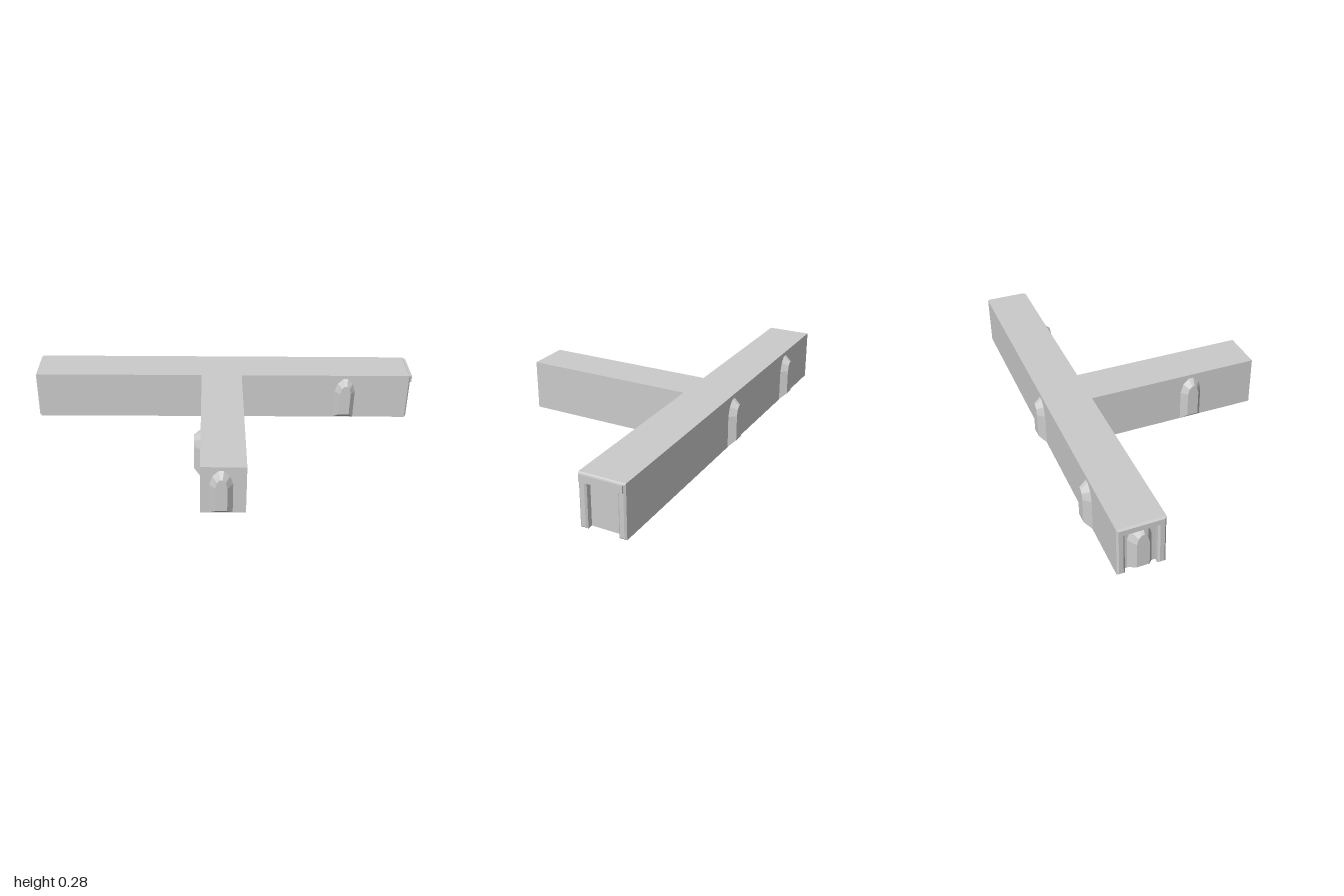
import * as THREE from 'three';

const mat = new THREE.MeshStandardMaterial({ color: 0xcccccc, flatShading: true });
const H = 0.25;      // corridor height
const BAR_Z = -0.43; // centre line of the crossing corridor

function add(parent, name, geometry, x = 0, y = 0, z = 0, turn = 0) {
  const mesh = new THREE.Mesh(geometry, mat);
  mesh.name = name;
  mesh.position.set(x, y, z);
  mesh.rotation.y = turn;
  parent.add(mesh);
  return mesh;
}

// Half-width and height pairs, mirrored into a closed counter-clockwise outline
function archOutline(half, z) {
  const right = half.map(([x, y]) => [x, y, z]);
  const left = half.slice().reverse().map(([x, y]) => [-x, y, z]);
  return [...right, ...left];
}

// Arched bay: a wide base outline lofted to a smaller front panel, facing +z
function archGeometry(depth = 0.032) {
  const base = archOutline([[0.054, 0], [0.054, 0.155], [0.04, 0.2], [0.012, 0.228]], 0);
  const front = archOutline([[0.028, 0.03], [0.028, 0.155], [0.02, 0.185], [0.006, 0.2]], depth);
  const pos = [], n = base.length;
  for (let i = 0; i < n; i++) {
    const j = (i + 1) % n;
    pos.push(...base[i], ...base[j], ...front[j], ...base[i], ...front[j], ...front[i]);
    if (i > 0 && i < n - 1) pos.push(...front[0], ...front[i], ...front[i + 1]);
  }
  const g = new THREE.BufferGeometry();
  g.setAttribute('position', new THREE.Float32BufferAttribute(pos, 3));
  g.computeVertexNormals();
  return g;
}

// Doorway frame open at the floor, with chamfered outer edges, facing +z
function frameGeometry(depth) {
  const w = 0.108, o = 0.072, top = 0.208;
  const s = new THREE.Shape([
    [-w, 0], [-o, 0], [-o, top], [o, top], [o, 0], [w, 0], [w, H], [-w, H],
  ].map(([x, y]) => new THREE.Vector2(x, y)));
  const b = 0.008;
  return new THREE.ExtrudeGeometry(s, {
    depth: depth - b, bevelEnabled: true, bevelSegments: 1,
    bevelSize: b, bevelThickness: b, bevelOffset: -b,
  });
}

export function createModel() {
  const model = new THREE.Group();
  model.name = 'tJunctionCorridor';

  // The whole junction leans very slightly
  const body = new THREE.Group();
  body.name = 'corridors';
  body.position.y = 0.0115;
  body.rotation.set(0.012, 0, -0.0125);
  model.add(body);

  // Corridors
  add(body, 'crossCorridor', new THREE.BoxGeometry(1.91, H, 0.216), 0, H / 2, BAR_Z);
  add(body, 'stemCorridor', new THREE.BoxGeometry(0.21, H, 0.86), -0.01, H / 2, 0.103);

  // Doorway frames on both ends of the cross corridor
  add(body, 'leftEndFrame', frameGeometry(0.035), 0.953, 0, BAR_Z, Math.PI / 2);
  add(body, 'rightEndFrame', frameGeometry(0.031), -0.953, 0, BAR_Z, -Math.PI / 2);
  add(body, 'leftEndLintel', new THREE.BoxGeometry(0.03, 0.034, 0.2), 0.981, 0.229, BAR_Z);

  // Arched bays: x, z, turn
  const arch = archGeometry();
  [
    ['backRightBay', -0.64, -0.538, Math.PI],
    ['backCentreBay', 0.005, -0.538, Math.PI],
    ['frontLeftBay', 0.645, -0.322, 0],
    ['stemEndBay', -0.02, 0.533, 0],
    ['stemSideBay', -0.115, 0.195, -Math.PI / 2],
    ['rightEndBay', -0.955, BAR_Z, -Math.PI / 2],
  ].forEach(([name, x, z, turn]) => {
    const bay = add(body, name, arch, x, 0.002, z, turn);
    // The bay inside the end frame stands out past it
    if (name === 'rightEndBay') bay.scale.z = 1.35;
  });

  return model;
}
